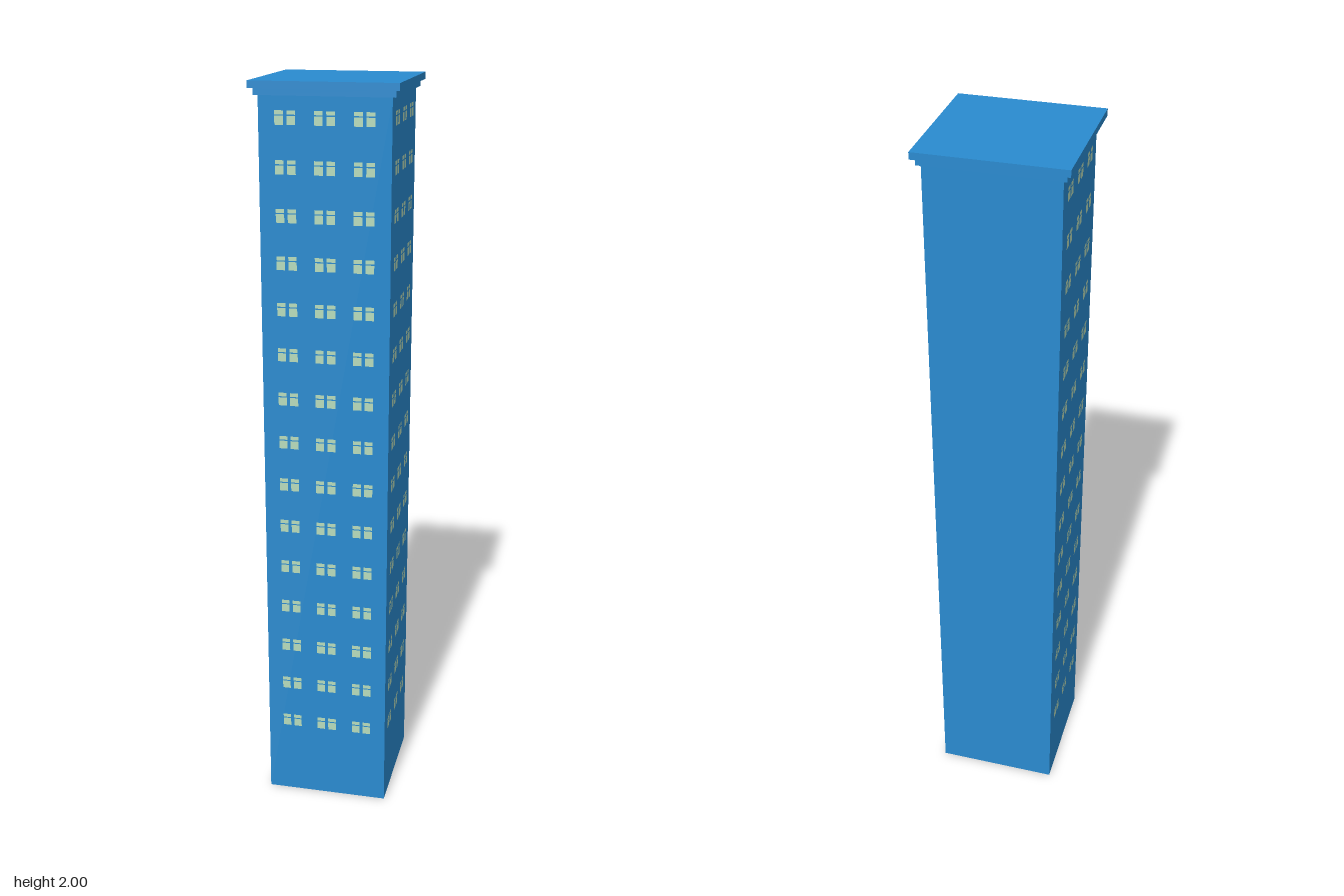
import * as THREE from 'three';
import { mergeGeometries } from 'three/addons/utils/BufferGeometryUtils.js';

const HALF = 0.168; // half width of the shaft
const SHAFT_TOP = 1.965;

export function createModel() {
  const tower = new THREE.Group();
  tower.name = 'tower';
  const blue = new THREE.MeshStandardMaterial({ color: 0x2a8bd0, side: THREE.DoubleSide });
  const glass = new THREE.MeshStandardMaterial({ color: 0xb8dcbc, side: THREE.DoubleSide });

  const add = (name, geometry, material) => {
    const mesh = new THREE.Mesh(geometry, material);
    mesh.name = name;
    tower.add(mesh);
    return mesh;
  };

  // Hollow shaft: four walls, open underneath
  const wall = new THREE.PlaneGeometry(2 * HALF, SHAFT_TOP).translate(0, SHAFT_TOP / 2, HALF);
  const walls = [0, 1, 2, 3].map((i) => wall.clone().rotateY((i * Math.PI) / 2));
  add('shaft', mergeGeometries(walls), blue);

  // Two-step cornice with a flat roof
  const slab = (name, half, bottom, top) =>
    add(name, new THREE.BoxGeometry(2 * half, top - bottom, 2 * half).translate(0, (bottom + top) / 2, 0), blue);
  slab('lowerCornice', 0.178, SHAFT_TOP, 1.982);
  slab('roofSlab', 0.189, 1.982, 2);

  // One window: two casements, each with a small upper and a tall lower pane
  const panes = [];
  for (const x of [-0.0155, 0.0155]) {
    panes.push(new THREE.PlaneGeometry(0.022, 0.01).translate(x, 0.0125, 0));
    panes.push(new THREE.PlaneGeometry(0.022, 0.022).translate(x, -0.0065, 0));
  }
  const pane = mergeGeometries(panes);

  // Fifteen floors of three windows
  const grid = [];
  for (let floor = 0; floor < 15; floor++) {
    for (const x of [-0.1, 0, 0.1]) {
      grid.push(pane.clone().translate(x, 0.226 + floor * 0.1204, HALF + 0.001));
    }
  }
  const facade = mergeGeometries(grid);

  // Windows on the front and both sides; the back wall is blank
  add('frontWindows', facade, glass);
  add('leftWindows', facade, glass).rotation.y = Math.PI / 2;
  add('rightWindows', facade, glass).rotation.y = -Math.PI / 2;

  return tower;
}
